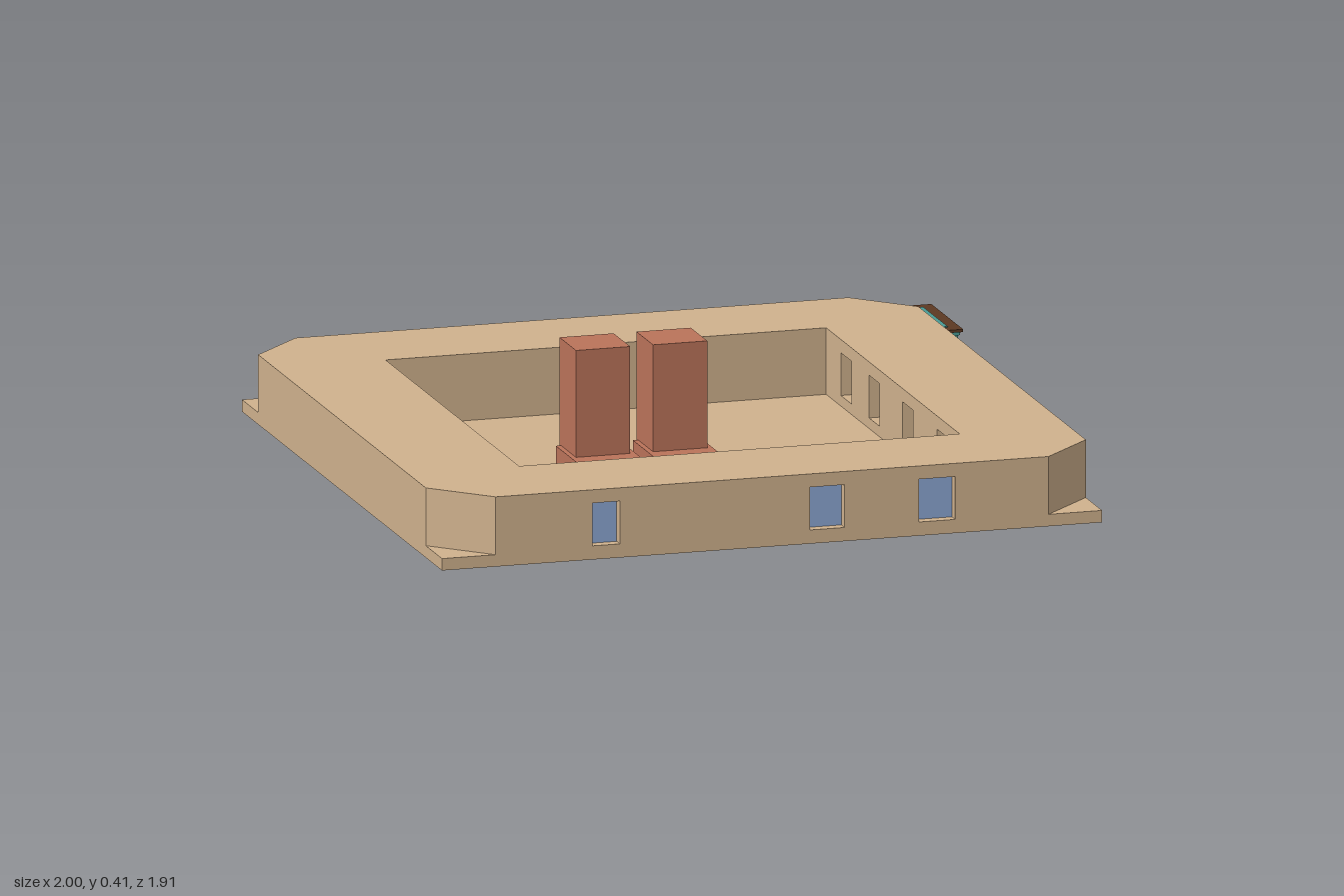
import * as THREE from 'three';

const mat = (name, color, extra = {}) => {
  const m = new THREE.MeshStandardMaterial({ color, ...extra });
  m.name = name;
  return m;
};

export function createModel() {
  const tan = mat('sandstone', 0xcfb18d);
  const red = mat('terracotta', 0xba735a);
  const blue = mat('windowBlue', 0x8ca6d2);
  const teal = mat('teal', 0x4a9b95);
  const brown = mat('darkWood', 0x5c3822);
  const root = new THREE.Group();

  const add = (parent, name, geo, material, x = 0, y = 0, z = 0) => {
    const m = new THREE.Mesh(geo, material);
    m.name = name;
    m.position.set(x, y, z);
    parent.add(m);
    return m;
  };
  // box given by its limits
  const box = (parent, name, material, x0, x1, y0, y1, z0, z1) =>
    add(parent, name, new THREE.BoxGeometry(x1 - x0, y1 - y0, z1 - z0), material,
      (x0 + x1) / 2, (y0 + y1) / 2, (z0 + z1) / 2);

  // ---- courtyard building ----
  const X0 = -1, X1 = 0.91, Z = 0.955, cut = 0.155, recess = 0.035;
  const court = { x0: -0.68, x1: 0.595, z0: -0.64, z1: 0.635 };
  const frontWindows = [[-0.565, -0.485], [0.065, 0.165], [0.38, 0.485]];
  const courtWindows = [-0.45, -0.18, 0.14, 0.47].map(c => [c - 0.05, c + 0.05]);
  const sill = 0.04, lintel = 0.162;

  // ring-shaped plan, extruded upwards; notches form the window recesses
  const ring = (name, y0, y1, chamfer, notched) => {
    const p = [[X0 + chamfer, Z]];
    if (notched) for (const [a, b] of frontWindows)
      p.push([a, Z], [a, Z - recess], [b, Z - recess], [b, Z]);
    p.push([X1 - chamfer, Z]);
    if (chamfer) p.push([X1, Z - chamfer], [X1, -Z + chamfer]);
    p.push([X1 - chamfer, -Z], [X0 + chamfer, -Z]);
    if (chamfer) p.push([X0, -Z + chamfer], [X0, Z - chamfer]);
    const h = [[court.x0, court.z0], [court.x1, court.z0]];
    if (notched) for (const [a, b] of courtWindows)
      h.push([court.x1, a], [court.x1 + recess, a], [court.x1 + recess, b], [court.x1, b]);
    h.push([court.x1, court.z1], [court.x0, court.z1]);
    const toV = ([x, z]) => new THREE.Vector2(x, -z);
    const shape = new THREE.Shape(p.map(toV));
    shape.holes.push(new THREE.Path(h.map(toV)));
    const geo = new THREE.ExtrudeGeometry(shape, { depth: y1 - y0, bevelEnabled: false });
    geo.rotateX(-Math.PI / 2);
    add(building, name, geo, tan, 0, y0, 0);
  };
  const building = new THREE.Group();
  building.name = 'building';
  root.add(building);
  ring('baseLedge', 0.001, 0.035, 0, false);
  ring('wallFoot', 0.035, sill, cut, false);
  ring('windowWall', sill, lintel, cut, true);
  ring('wallTop', lintel, 0.2, cut, false);
  box(building, 'courtyardFloor', tan, court.x0, court.x1, 0.001, 0.01, court.z0, court.z1);

  // window panes at the back of each recess
  for (const [a, b] of frontWindows)
    box(building, 'frontPane', blue, a, b, sill, lintel, Z - recess, Z - recess + 0.004);
  for (const [a, b] of courtWindows)
    box(building, 'courtyardPane', blue, court.x1 + recess - 0.004, court.x1 + recess, sill, lintel, a, b);

  // ---- pair of towers with low plinths ----
  for (const x of [-0.41, -0.187]) {
    const tower = new THREE.Group();
    tower.name = 'tower';
    root.add(tower);
    box(tower, 'plinth', red, x, x + 0.187, 0, 0.11, 0.095, 0.347);
    box(tower, 'shaft', red, x + 0.015, x + 0.172, 0.012, 0.415, 0.08, 0.238);
  }

  // ---- carved table standing in the rear left corner ----
  const table = new THREE.Group();
  table.name = 'table';
  table.position.set(0.81, 0, -0.8);
  root.add(table);
  const hx = 0.173, hz = 0.141;
  const slab = (name, material, dx, dz, y0, y1) =>
    box(table, name, material, -dx, dx, y0, y1, -dz, dz);
  slab('body', teal, hx, hz, 0.1, 0.15);
  slab('underside', brown, hx - 0.01, hz - 0.01, 0.085, 0.1);
  slab('lowerMoulding', brown, hx + 0.005, hz + 0.005, 0.095, 0.102);
  slab('upperMoulding', teal, hx + 0.004, hz + 0.004, 0.147, 0.157);
  slab('topRim', brown, hx + 0.011, hz + 0.011, 0.157, 0.165);
  slab('topInset', teal, hx - 0.023, hz - 0.024, 0.163, 0.167);

  // scalloped apron plates on the four sides
  const apron = (half) => {
    const s = new THREE.Shape();
    s.moveTo(-half, 0.096);
    s.lineTo(-half, 0.07);
    const n = 5, w = 2 * half / n;
    for (let i = 0; i < n; i++) {
      const x = -half + i * w;
      s.quadraticCurveTo(x + w / 2, i === 2 ? 0.05 : 0.062, x + w, i === n - 1 ? 0.07 : 0.078);
    }
    s.lineTo(half, 0.096);
    return new THREE.ExtrudeGeometry(s, { depth: 0.009, bevelEnabled: false, curveSegments: 5 });
  };
  for (const side of [0, 1, 2, 3]) {
    const along = side % 2 ? hz : hx, out = side % 2 ? hx : hz;
    const g = new THREE.Group();
    g.name = 'apronSide';
    g.rotation.y = side * Math.PI / 2;
    table.add(g);
    add(g, 'apron', apron(along - 0.02), teal, 0, 0, out - 0.009);
    add(g, 'apronBacking', apron(along - 0.015), brown, 0, -0.005, out - 0.019);
  }

  // cabriole legs: radius and outward sway follow the height
  const profile = [[0, 0.013, 0.008], [0.012, 0.014, 0.008], [0.022, 0.009, 0], [0.04, 0.008, -0.006],
    [0.06, 0.012, -0.002], [0.078, 0.017, 0.002], [0.095, 0.014, -0.002], [0.102, 0.012, -0.004]];
  const legGeo = new THREE.CylinderGeometry(1, 1, 1, 10, profile.length - 1);
  const pos = legGeo.attributes.position;
  for (let i = 0; i < pos.count; i++) {
    const k = Math.round((pos.getY(i) + 0.5) * (profile.length - 1));
    const [y, r, sway] = profile[k];
    pos.setXYZ(i, pos.getX(i) * r + sway, y, pos.getZ(i) * r + sway);
  }
  legGeo.computeVertexNormals();
  [[1, 1], [1, -1], [-1, -1], [-1, 1]].forEach(([sx, sz], i) => {
    const leg = add(table, 'leg', legGeo, brown, sx * (hx - 0.004), 0, sz * (hz - 0.007));
    leg.rotation.y = i * Math.PI / 2;
    const knee = add(table, 'kneeCarving', new THREE.SphereGeometry(0.009, 8, 6), teal,
      sx * (hx + 0.004), 0.076, sz * (hz + 0.001));
    knee.scale.y = 1.5;
  });

  return root;
}
